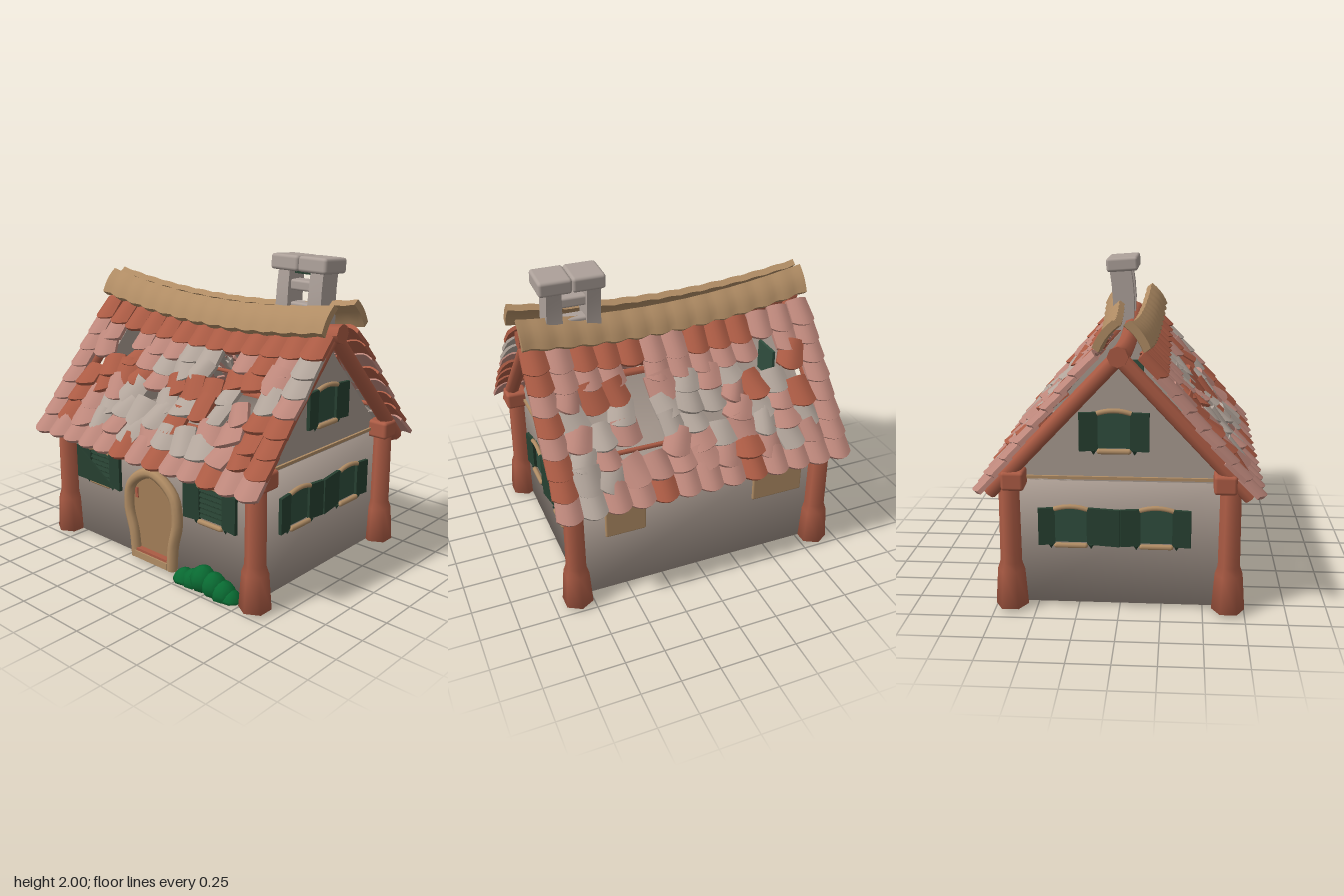
import * as THREE from 'three';
import { mergeVertices } from 'three/addons/utils/BufferGeometryUtils.js';
import { RoundedBoxGeometry } from 'three/addons/geometries/RoundedBoxGeometry.js';

const mat = (name, color) => {
  const m = new THREE.MeshStandardMaterial({ color });
  m.name = name;
  return m;
};

export function createModel() {
  const house = new THREE.Group();
  house.name = 'cottage';
  const plaster = mat('plaster', 0xa89a90), rust = mat('rust', 0xab5b44), pink = mat('pink tile', 0xbd877b);
  const grey = mat('grey tile', 0xb2a59b), tan = mat('tan wood', 0xb08c64), doorWood = mat('door wood', 0xa27d57);
  const green = mat('shutter green', 0x263f30), paneGreen = mat('pane green', 0x2f4d3d);
  const leaf = mat('leaf green', 0x096a32), stone = mat('chimney stone', 0xaca099);

  const add = (parent, name, geo, material, x = 0, y = 0, z = 0) => {
    const m = new THREE.Mesh(geo, material);
    m.name = name;
    m.position.set(x, y, z);
    parent.add(m);
    return m;
  };
  const box = (w, h, d) => new THREE.BoxGeometry(w, h, d);
  // Moves every vertex by a rule, then rebuilds the normals
  const deform = (geo, rule) => {
    const p = geo.attributes.position, v = new THREE.Vector3();
    for (let i = 0; i < p.count; i++) {
      rule(v.fromBufferAttribute(p, i));
      p.setXYZ(i, v.x, v.y, v.z);
    }
    geo.computeVertexNormals();
    return geo;
  };
  let seed = 11;
  const rand = () => {
    seed = (seed * 16807) % 2147483647;
    return seed / 2147483647 - 0.5;
  };
  const sag = (x) => 1 - Math.min(1, (x / 0.98) ** 2);

  // Walls with softly blended corners
  let wallGeo = box(1.62, 0.79, 1.24);
  wallGeo.deleteAttribute('uv');
  wallGeo.deleteAttribute('normal');
  wallGeo = mergeVertices(wallGeo);
  wallGeo.computeVertexNormals();
  add(house, 'walls', wallGeo, plaster, 0, 0.415, 0);

  // Gables, their trim, the sloping end beams and the corner posts
  const gableShape = new THREE.Shape([[-0.66, 0.8], [0.66, 0.8], [0, 1.54]].map((p) => new THREE.Vector2(...p)));
  const gableGeo = new THREE.ExtrudeGeometry(gableShape, { depth: 0.04, bevelEnabled: false });
  gableGeo.rotateY(Math.PI / 2);
  const beam = (name, a, b, r) => {
    const from = new THREE.Vector3(...a), dir = new THREE.Vector3(...b).sub(from);
    const m = add(house, name, new THREE.CylinderGeometry(r, r, dir.length(), 8), rust);
    m.position.copy(from).addScaledVector(dir, 0.5);
    m.quaternion.setFromUnitVectors(new THREE.Vector3(0, 1, 0), dir.normalize());
  };
  const postProfile = [[0, 0.02], [0.1, 0.02], [0.083, 0.25], [0.066, 0.3], [0.062, 0.78], [0, 0.8]]
    .map((p) => new THREE.Vector2(...p));
  const capitalGeo = new RoundedBoxGeometry(0.15, 0.115, 0.135, 2, 0.02);
  for (const s of [-1, 1]) {
    add(house, 'gable', gableGeo, plaster, s > 0 ? 0.77 : -0.81);
    add(house, 'gableTrim', box(0.02, 0.018, 1.14), tan, s * 0.815, 0.822, 0);
    for (const t of [-1, 1]) {
      beam('gableBeam', [s * 0.88, 0.745, t * 0.765], [s * 0.88, 1.56, 0], 0.047);
      add(house, 'cornerPost', new THREE.LatheGeometry(postProfile, 6), rust, s * 0.849, 0, t * 0.652);
      add(house, 'postCapital', capitalGeo, rust, s * 0.862, 0.825, t * 0.618);
    }
    beam('eaveBeam', [-0.86, 0.8, s * 0.68], [0.86, 0.8, s * 0.68], 0.035);
    beam('purlin', [-0.85, 0.99, s * 0.56], [0.85, 0.99, s * 0.56], 0.015);
  }

  // Sagging ridge beam
  const ridge = new THREE.CylinderGeometry(0.06, 0.06, 1.9, 8, 12).rotateZ(Math.PI / 2);
  add(house, 'ridgeBeam', deform(ridge, (v) => { v.y += 1.575 - 0.08 * sag(v.x); }), rust);

  // Bulging roof tile with a rounded lower edge
  const tileGeo = deform(new THREE.BoxGeometry(0.165, 0.026, 0.195, 6, 1, 4), (v) => {
    const u = v.x / 0.0825, down = (v.z + 0.0975) / 0.195;
    v.y += 0.028 * Math.cos((u * Math.PI) / 2);
    v.z -= 0.04 * u * u * down;
    v.x *= 0.9 + 0.1 * down;
  });
  const slope = Math.atan2(0.8, 0.65);
  const tileColours = { P: pink, R: rust, G: grey };
  // Rows run from the eave to the ridge, columns from -x to +x, dots are holes
  const frontRows = ['PPPPPRPRPPRPP', 'PRPGPGPGGGPRR', 'PRPGGGGR.PPRR', 'PRRPG.GGRGPRR',
    'P.RRRPRRRG.GP', 'PP.RPGGG.RRPG', 'PP.PPPGG.PRPG', 'RRRRRRRRRRRRR'];
  const backRows = ['PPPPRPPPRPPGP', 'PPGPRPPPPPGGR', 'PGPGPGPP..PGR', 'PRPGP.GG.PGPP',
    'P.GRPGGG.G.GR', 'PR..GPGP.RRPP', 'PP.PPPPP.PPPR', 'PPPRRRPPRRRPR'];
  [frontRows, backRows].forEach((rows, side) => {
    const roof = new THREE.Group();
    roof.name = side ? 'backRoof' : 'frontRoof';
    roof.rotation.y = side * Math.PI;
    house.add(roof);
    rows.forEach((row, r) => {
      [...row].forEach((c, i) => {
        if (c === '.') return;
        const x = -0.9 + 0.15 * i, t = (r + 0.5) / 8;
        const loose = i > 0 && i < 12 && r > 0 && r < 6 ? 1 : 0.15;
        const tile = add(roof, 'roofTile', tileGeo, tileColours[c], side ? -x : x,
          0.766 + 0.8 * t - 0.08 * t * sag(x) + 0.025 * loose * rand(), 0.8 - 0.65 * t);
        tile.rotation.set(slope - 0.1 + 0.35 * loose * rand(), 0.95 * loose * rand(), 0.45 * loose * rand());
        if (loose === 1) tile.scale.set(1.06 + 0.35 * rand(), 1, 0.97 + 0.28 * rand());
      });
    });
  });

  // Two thick ridge covers with scalloped lower edges, spreading apart towards +x
  for (const s of [1, -1]) {
    const cover = deform(new THREE.BoxGeometry(1.94, 0.045, 0.175, 66, 1, 5), (v) => {
      const down = v.z / 0.175 + 0.5, x = v.x, scallop = Math.abs(Math.sin((x * Math.PI) / 0.15));
      const y = v.y + 0.014 * Math.sin(Math.PI * down) + 0.008 * scallop;
      const z = v.z + 0.016 * scallop * down;
      const middle = s > 0 ? 0.125 + 0.028 * x : 0.098 - 0.045 * x;
      v.y = 1.685 - 0.085 * sag(x) - 0.008 * s * x + y * Math.cos(0.92) - z * Math.sin(0.92);
      v.z = middle + y * Math.sin(0.92) + z * Math.cos(0.92);
    });
    if (s < 0) cover.rotateY(Math.PI);
    add(house, 'ridgeCover', cover, tan);
  }

  // Chimney: two legs, cross stones and a split cap
  const chimney = new THREE.Group();
  chimney.name = 'chimney';
  house.add(chimney);
  for (const [x, w] of [[0.5, 0.09], [0.745, 0.1]]) {
    const leg = deform(new THREE.BoxGeometry(w, 0.42, 0.15, 1, 4, 1), (v) => {
      v.z += 0.015 * Math.cos(v.y * 8) - 0.03 * v.y;
      v.x *= 1 - 0.3 * v.y;
    });
    add(chimney, 'chimneyLeg', leg, stone, x, 1.7, -0.075);
  }
  add(chimney, 'crossStone', new RoundedBoxGeometry(0.18, 0.065, 0.1, 2, 0.015), stone, 0.62, 1.815, -0.07);
  add(chimney, 'crossStone', new RoundedBoxGeometry(0.2, 0.04, 0.1, 2, 0.015), stone, 0.62, 1.69, -0.07);
  add(chimney, 'flueGrate', box(0.12, 0.015, 0.07), green, 0.62, 1.893, -0.07);
  for (const x of [0.531, 0.737]) {
    const cap = add(chimney, 'chimneyCap', new RoundedBoxGeometry(0.206, 0.095, 0.22, 2, 0.02), stone, x, 1.948, -0.07);
    cap.rotation.x = -0.07;
  }

  // Shuttered window facing local +z; a and b are the shutter widths
  const sillGeo = new THREE.CapsuleGeometry(0.017, 0.17, 4, 8).rotateZ(Math.PI / 2);
  const lintelCurve = new THREE.QuadraticBezierCurve3(new THREE.Vector3(-0.1, 0, 0), new THREE.Vector3(0, 0.035, 0), new THREE.Vector3(0.1, 0, 0));
  const lintelGeo = new THREE.TubeGeometry(lintelCurve, 8, 0.015, 8);
  const addWindow = (name, x, y, z, turn, a, b, slats) => {
    const g = new THREE.Group();
    g.name = name;
    g.position.set(x, y, z);
    g.rotation.y = turn;
    house.add(g);
    add(g, 'pane', box(0.2, 0.21, 0.07), slats ? green : paneGreen, 0, 0, -0.025);
    for (let i = 0; i < slats; i++) {
      add(g, 'slat', box(0.19, 0.022, 0.008), green, 0, -0.085 + i * 0.034, 0.018).rotation.x = -0.6;
    }
    [[-1, a], [1, b]].forEach(([s, w]) => {
      const shutter = add(g, 'shutter', box(w, 0.23, 0.022), green, s * (0.095 + w / 2), 0, 0.028);
      shutter.rotation.y = s * -0.15;
      const tip = add(g, 'shutterTip', new THREE.ConeGeometry(0.018, 0.03, 4), green, s * 0.12, -0.127, 0.025);
      tip.rotation.x = Math.PI;
    });
    add(g, 'sill', sillGeo, tan, 0, -0.118, 0.03);
    add(g, 'lintel', lintelGeo, tan, 0, 0.108, 0.025);
    return g;
  };
  const brokenWindow = addWindow('frontWindow', -0.52, 0.552, 0.62, 0, 0.12, 0.12, 6);
  const hanging = new THREE.Shape([[-0.215, 0.115], [-0.215, -0.115], [0.15, -0.115]].map((p) => new THREE.Vector2(...p)));
  add(brokenWindow, 'fallenShutter', new THREE.ExtrudeGeometry(hanging, { depth: 0.012, bevelEnabled: false }), green, 0, 0, 0.035);
  addWindow('frontWindow', 0.49, 0.552, 0.62, 0, 0.12, 0.12, 6);
  for (const s of [-1, 1]) {
    const turn = (s * Math.PI) / 2;
    // Widths are given front first, then back
    const sideWindow = (name, y, z, front, back) =>
      addWindow(name, s * 0.81, y, z, turn, s > 0 ? front : back, s > 0 ? back : front, 0);
    sideWindow('sideWindow', 0.52, 0.22, 0.11, 0.12);
    sideWindow('sideWindow', 0.52, -0.29, 0.2, 0.1);
    sideWindow('atticWindow', 1.11, -0.03, 0.11, 0.11);
  }

  // Boarded openings at the back
  for (const [x, w] of [[0.505, 0.27], [-0.56, 0.36]]) {
    add(house, 'backPanel', new RoundedBoxGeometry(w, 0.24, 0.03, 2, 0.012), tan, x, 0.55, -0.618);
  }

  // Arched door with a thick horseshoe frame and a step
  const arch = [[-0.175, 0.02], [-0.19, 0.18], [-0.235, 0.36], [-0.2, 0.53], [-0.015, 0.635], [0.17, 0.53], [0.205, 0.36], [0.165, 0.18], [0.15, 0.02]];
  const curve = new THREE.CatmullRomCurve3(arch.map(([x, y]) => new THREE.Vector3(x, y, 0.645)));
  const outline = curve.getPoints(32).map((p) => new THREE.Vector2(p.x, p.y));
  add(house, 'door', new THREE.ExtrudeGeometry(new THREE.Shape(outline), { depth: 0.015, bevelEnabled: false }), doorWood, 0, 0, 0.615);
  add(house, 'doorFrame', new THREE.TubeGeometry(curve, 40, 0.036, 8), tan);
  add(house, 'doorSill', box(0.31, 0.06, 0.05), rust, -0.015, 0.055, 0.645);
  add(house, 'doorStep', box(0.3, 0.045, 0.06), tan, -0.015, 0.045, 0.65);
  for (const [x, y, h] of [[-0.175, 0.46, 0.07], [0.158, 0.42, 0.1], [0.13, 0.16, 0.07]]) {
    add(house, 'doorHinge', box(0.024, h, 0.008), rust, x, y, 0.634);
  }

  // Leafy mound beside the door, flattened on the ground
  for (const [x, y, r] of [[0.28, 0, 0.08], [0.36, 0.02, 0.08], [0.44, 0.06, 0.09], [0.53, 0.045, 0.088], [0.61, 0.02, 0.085], [0.665, 0, 0.07]]) {
    const lump = new THREE.SphereGeometry(r, 9, 7);
    add(house, 'bush', deform(lump, (v) => { v.y = Math.max(0, v.y + y); }), leaf, x, 0, 0.655);
  }
  return house;
}
